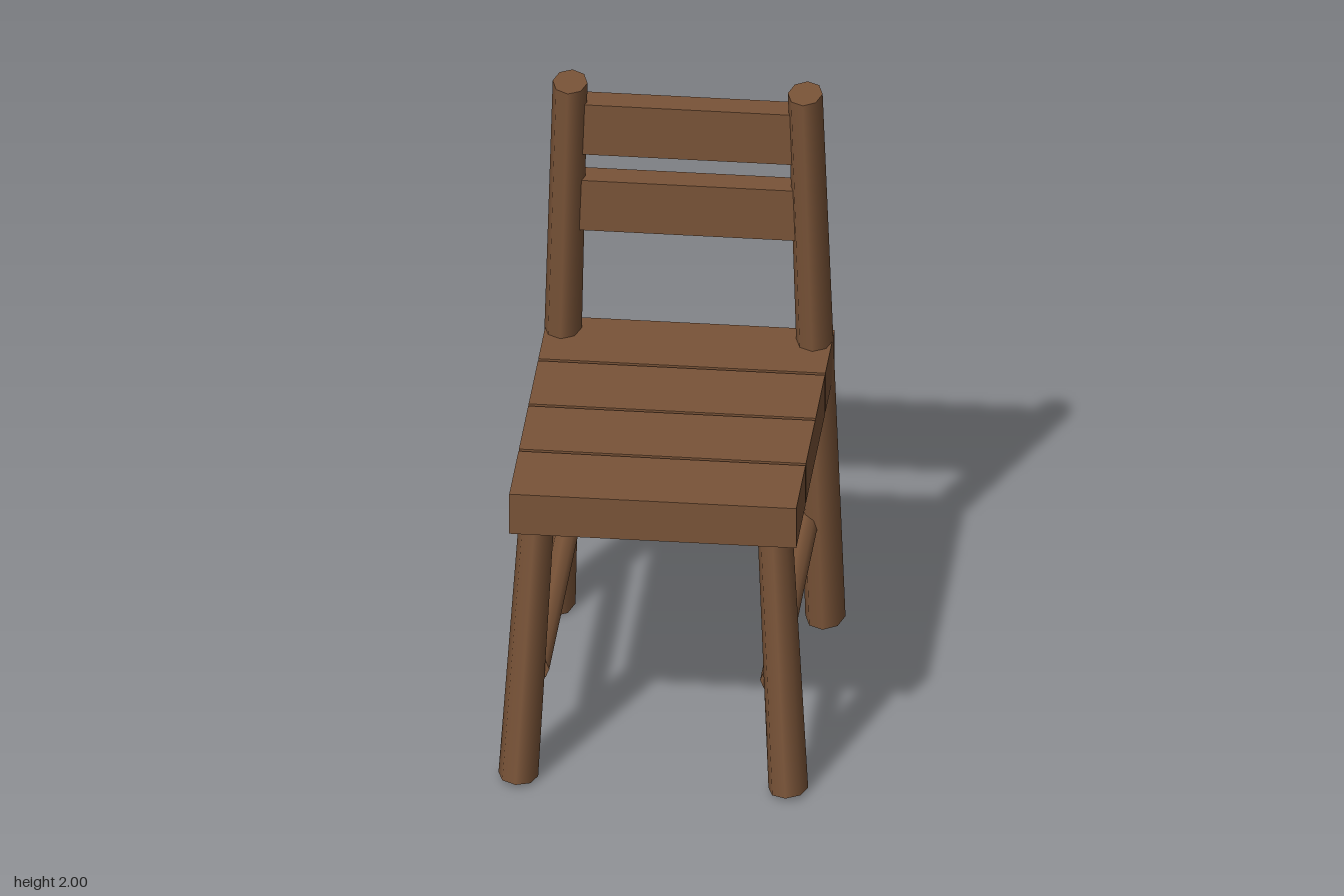
import * as THREE from 'three';

const wood = new THREE.MeshStandardMaterial({ color: 0x7a5438 });
wood.name = 'brown wood';

export function createModel() {
  const chair = new THREE.Group();
  chair.name = 'chair';

  // Tapered eight-sided pole with an oval section, from bottom point a to top point b
  function pole(name, a, b, rBottom, rTop, xScale) {
    const from = new THREE.Vector3(...a);
    const dir = new THREE.Vector3(...b).sub(from);
    const geo = new THREE.CylinderGeometry(rTop, rBottom, dir.length(), 8);
    geo.scale(xScale, 1, 1);
    const mesh = new THREE.Mesh(geo, wood);
    mesh.name = name;
    mesh.position.copy(from).addScaledVector(dir, 0.5);
    mesh.quaternion.setFromUnitVectors(new THREE.Vector3(0, 1, 0), dir.normalize());
    chair.add(mesh);
  }

  function board(name, size, position) {
    const mesh = new THREE.Mesh(new THREE.BoxGeometry(...size), wood);
    mesh.name = name;
    mesh.position.set(...position);
    chair.add(mesh);
  }

  // Splayed legs and side stretchers, mirrored left and right
  for (const [side, s] of [['left', 1], ['right', -1]]) {
    pole(side + 'FrontLeg', [s * 0.442, 0.01, 0.583], [s * 0.386, 1.0, 0.497], 0.088, 0.077, 0.74);
    pole(side + 'BackPost', [s * 0.442, 0.008, -0.582], [s * 0.385, 1.996, -0.496], 0.089, 0.077, 0.74);
    pole(side + 'Stretcher', [s * 0.385, 0.382, -0.54], [s * 0.385, 0.382, 0.54], 0.042, 0.042, 0.95);
  }

  // Four seat planks with narrow gaps
  for (let i = 0; i < 4; i++) {
    board('seatPlank' + (i + 1), [0.94, 0.147, 0.291], [0, 0.987, 0.456 - i * 0.305]);
  }

  // Two back slats passing through the posts
  board('upperBackSlat', [0.86, 0.185, 0.09], [0, 1.829, -0.525]);
  board('lowerBackSlat', [0.86, 0.185, 0.09], [0, 1.547, -0.525]);

  return chair;
}
